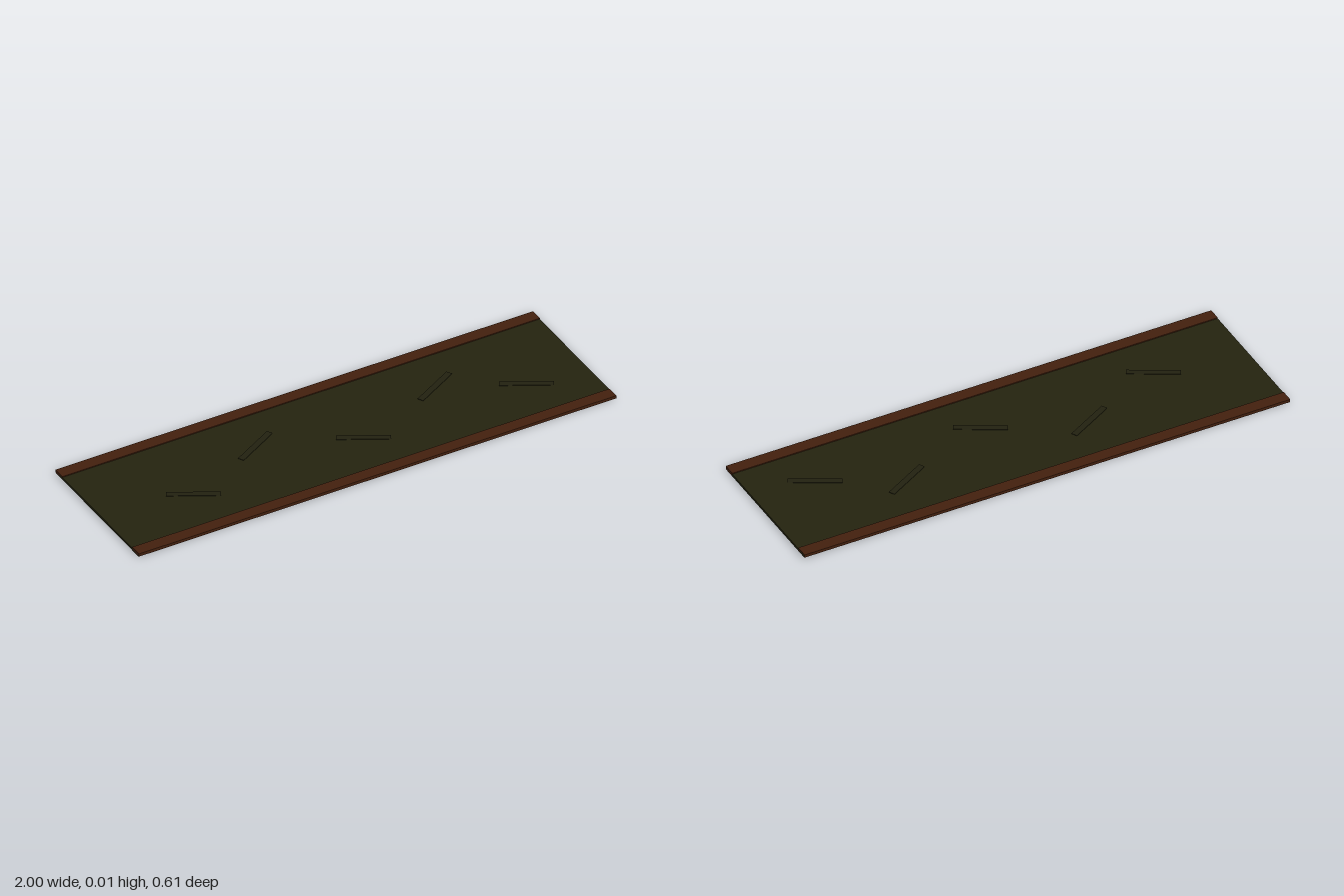
import * as THREE from 'three';

export function createModel() {
  const model = new THREE.Group();
  const material = (name, color) => {
    const m = new THREE.MeshStandardMaterial({ color });
    m.name = name;
    return m;
  };
  const darkOlive = material('darkOlive', 0x24230f);
  const rustBrown = material('rustBrown', 0x43200e);
  const deepOlive = material('deepOlive', 0x222110);

  const addBox = (name, mat, size, position, turn = 0) => {
    const mesh = new THREE.Mesh(new THREE.BoxGeometry(...size), mat);
    mesh.name = name;
    mesh.position.set(...position);
    mesh.rotation.y = turn;
    model.add(mesh);
  };

  // Long flat deck
  addBox('deck', darkOlive, [2, 0.01, 0.605], [0, 0.005, 0]);

  // Raised strips along both long edges
  for (const side of [1, -1]) {
    addBox(side > 0 ? 'frontEdgeStrip' : 'backEdgeStrip', rustBrown,
      [2, 0.012, 0.05], [0, 0.008, side * 0.28]);
  }

  // Thin slanted bars, alternating across the centre line, just clear of the deck
  [-0.64, -0.295, 0.073, 0.457, 0.755].forEach((x, i) => {
    const side = i % 2 ? -1 : 1;
    addBox('slantedBar' + (i + 1), deepOlive, [0.2, 0.002, 0.024],
      [x, 0.013, side * 0.075], -side * 0.5);
  });

  return model;
}
